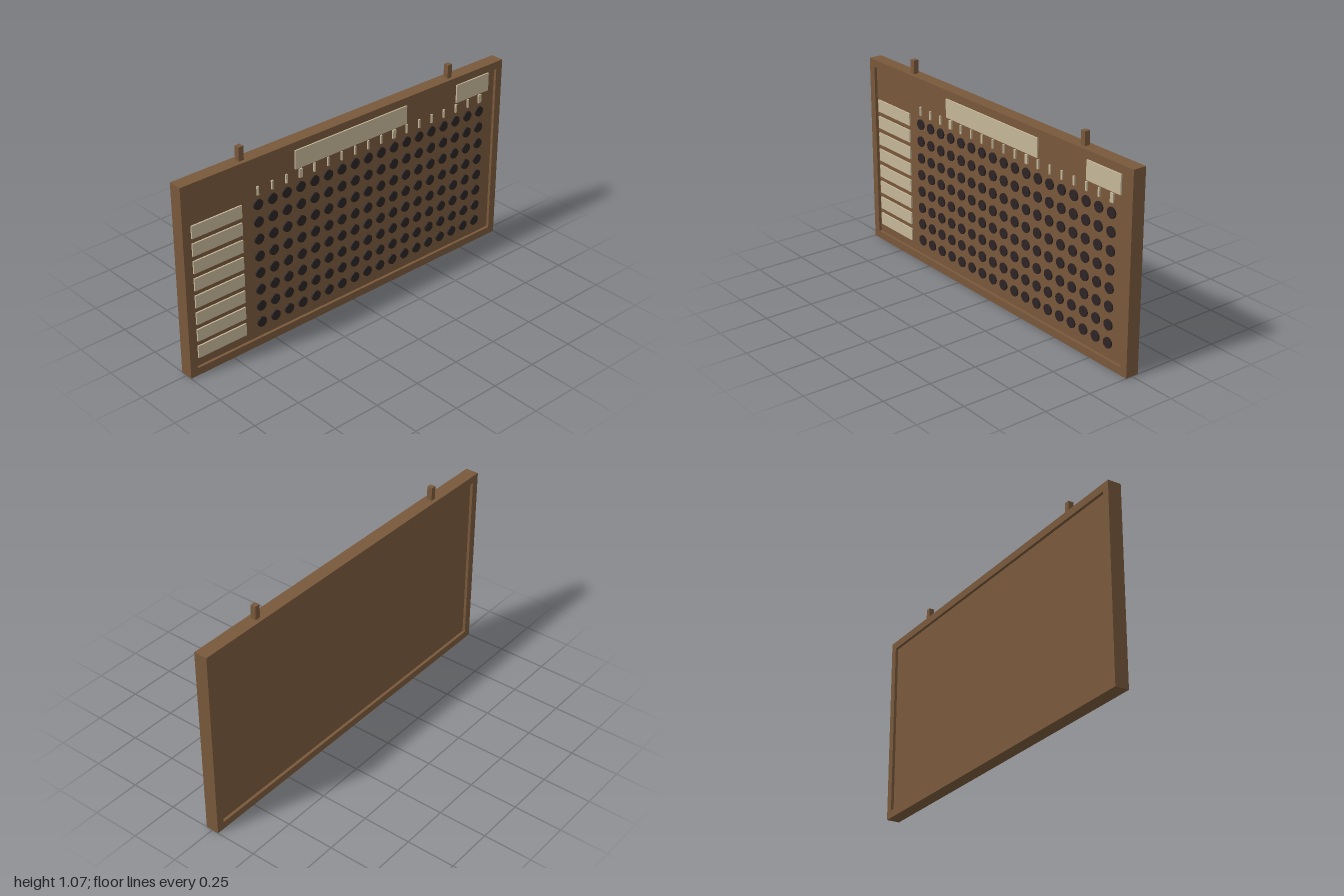
import * as THREE from 'three';

export function createModel() {
  const model = new THREE.Group();
  model.name = 'wallBoard';

  const mat = (name, color) => {
    const m = new THREE.MeshStandardMaterial({ color });
    m.name = name;
    return m;
  };
  const wood = mat('brownWood', 0x78583b);
  const card = mat('creamCard', 0xc4b698);
  const dark = mat('darkSocket', 0x2c2324);

  const add = (parent, name, geometry, material, x, y, z) => {
    const mesh = new THREE.Mesh(geometry, material);
    mesh.name = name;
    mesh.position.set(x, y, z);
    parent.add(mesh);
    return mesh;
  };
  const group = (name) => {
    const g = new THREE.Group();
    g.name = name;
    model.add(g);
    return g;
  };

  // Rectangular frame with an open centre
  const depth = 0.07;
  const outline = new THREE.Shape([
    new THREE.Vector2(-1, 0), new THREE.Vector2(1, 0),
    new THREE.Vector2(1, 1), new THREE.Vector2(-1, 1),
  ]);
  outline.holes.push(new THREE.Path([
    new THREE.Vector2(-0.96, 0.04), new THREE.Vector2(-0.96, 0.96),
    new THREE.Vector2(0.96, 0.96), new THREE.Vector2(0.96, 0.04),
  ]));
  const frame = new THREE.ExtrudeGeometry(outline, { depth, bevelEnabled: false });
  add(model, 'frame', frame, wood, 0, 0, -depth / 2);

  // Panel, recessed on both sides
  const face = 0.02;
  add(model, 'panel', new THREE.BoxGeometry(1.92, 0.92, face * 2), wood, 0, 0.5, 0);

  // Hanging pegs on the top edge
  for (const side of [-1, 1]) {
    add(model, side > 0 ? 'leftPeg' : 'rightPeg',
      new THREE.BoxGeometry(0.028, 0.07, 0.028), wood, side * 0.648, 1.035, 0);
  }

  // Grid of round sockets, with a label per row and a tick per column
  const columns = 18, rows = 8;
  const columnX = (i) => -0.57 + i * 0.084;
  const rowY = (j) => 0.753 - j * 0.0907;
  const plate = 0.008;
  const plateZ = face + plate / 2;

  const sockets = group('sockets');
  const socket = new THREE.CylinderGeometry(0.027, 0.027, plate, 12).rotateX(Math.PI / 2);
  const rowLabels = group('rowLabels');
  const rowLabel = new THREE.BoxGeometry(0.28, 0.065, plate);
  for (let j = 0; j < rows; j++) {
    add(rowLabels, 'rowLabel', rowLabel, card, -0.805, rowY(j), plateZ);
    for (let i = 0; i < columns; i++) {
      add(sockets, 'socket', socket, dark, columnX(i), rowY(j), plateZ);
    }
  }

  // Every seventh tick is wider
  const ticks = group('columnTicks');
  for (let i = 0; i < columns; i++) {
    const width = i % 7 === 3 ? 0.02 : 0.01;
    add(ticks, 'columnTick', new THREE.BoxGeometry(width, 0.045, plate), card,
      columnX(i), 0.824, plateZ);
  }

  // Heading plates along the top
  add(model, 'titlePlate', new THREE.BoxGeometry(0.7, 0.096, plate), card, 0, 0.902, plateZ);
  add(model, 'cornerPlate', new THREE.BoxGeometry(0.224, 0.096, plate), card, 0.802, 0.902, plateZ);

  return model;
}
